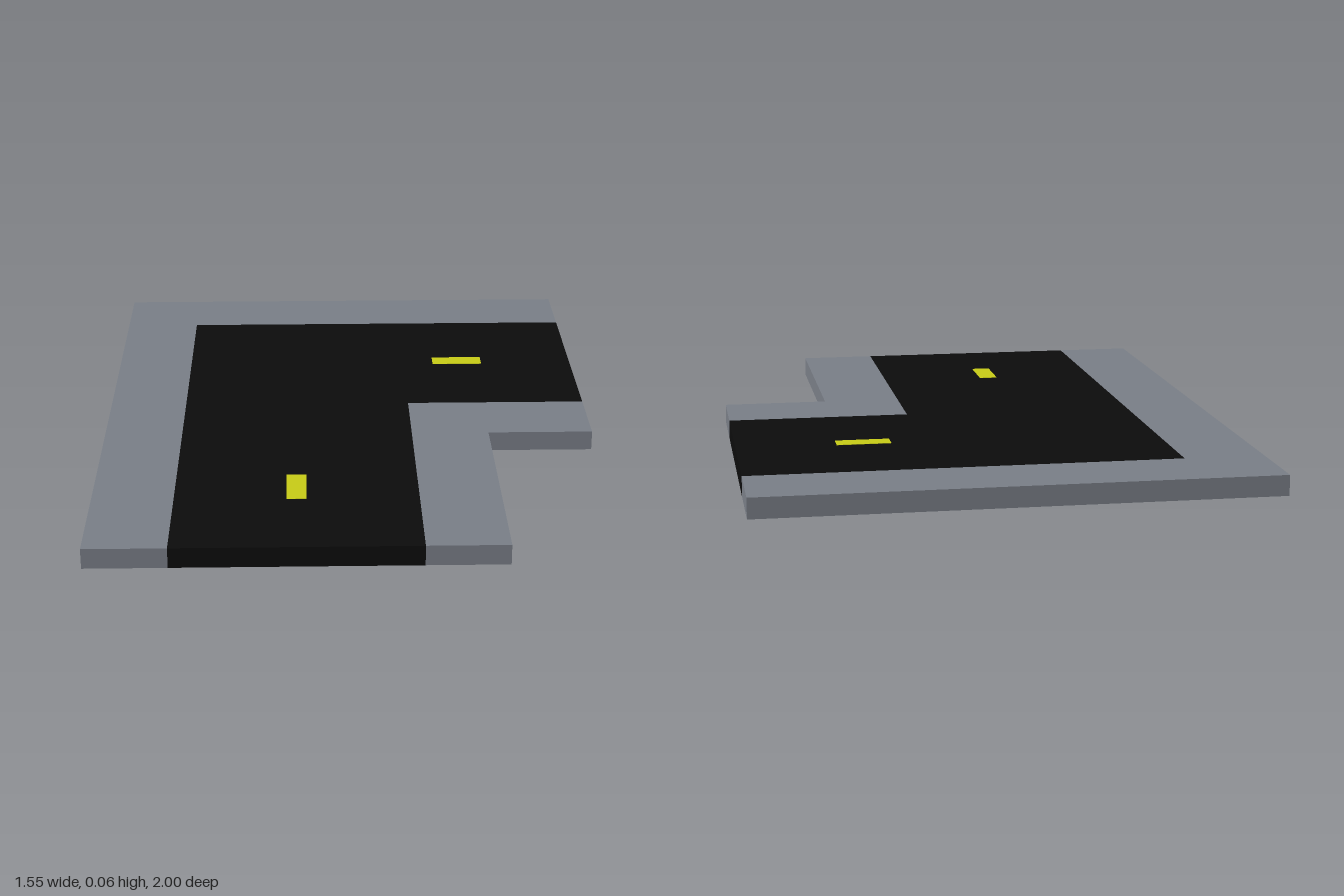
import * as THREE from 'three';

export function createModel() {
  const model = new THREE.Group();
  const paving = new THREE.MeshStandardMaterial({ color: 0x7a7f88 });
  const asphalt = new THREE.MeshStandardMaterial({ color: 0x0c0c0c });
  const paint = new THREE.MeshStandardMaterial({ color: 0xc8cc16 });
  const H = 0.061; // slab height
  const SKIN = 0.0012; // thickness of the surface layers

  // box given by its extents in x, z and y
  function slab(name, material, x0, x1, z0, z1, y0 = 0, y1 = H) {
    const geometry = new THREE.BoxGeometry(x1 - x0, y1 - y0, z1 - z0);
    geometry.translate((x0 + x1) / 2, (y0 + y1) / 2, (z0 + z1) / 2);
    const mesh = new THREE.Mesh(geometry, material);
    mesh.name = name;
    model.add(mesh);
  }
  const layer = (name, material, x0, x1, z0, z1) =>
    slab(name, material, x0, x1, z0, z1, H, H + SKIN);

  // crosswise road with a pavement on either side
  slab('backPavement', paving, -0.777, 0.777, -1, -0.757);
  slab('crossRoad', asphalt, -0.777, 0.777, -0.757, -0.024);
  slab('innerPavement', paving, -0.777, 0.777, -0.024, 0.22);

  // lengthwise road with a pavement on either side
  slab('rightPavement', paving, -0.777, -0.532, 0.22, 1);
  slab('frontRoad', asphalt, -0.532, 0.2, 0.22, 1);
  slab('leftPavement', paving, 0.2, 0.445, 0.22, 1);

  // surface layers that join the two roads into a corner
  layer('cornerPavementTop', paving, -0.777, -0.532, -1, 1);
  layer('backPavementTop', paving, -0.532, 0.777, -1, -0.757);
  layer('crossRoadTop', asphalt, -0.532, 0.777, -0.757, -0.024);
  layer('frontRoadTop', asphalt, -0.532, 0.2, -0.024, 1);
  layer('innerPavementTop', paving, 0.2, 0.777, -0.024, 0.22);
  layer('leftPavementTop', paving, 0.2, 0.445, 0.22, 1);

  // painted lane dashes
  const top = H + SKIN;
  slab('crossLaneDash', paint, 0.302, 0.47, -0.422, -0.362, top - 0.001, top + 0.001);
  slab('frontLaneDash', paint, -0.197, -0.137, 0.523, 0.691, top - 0.001, top + 0.001);

  return model;
}
